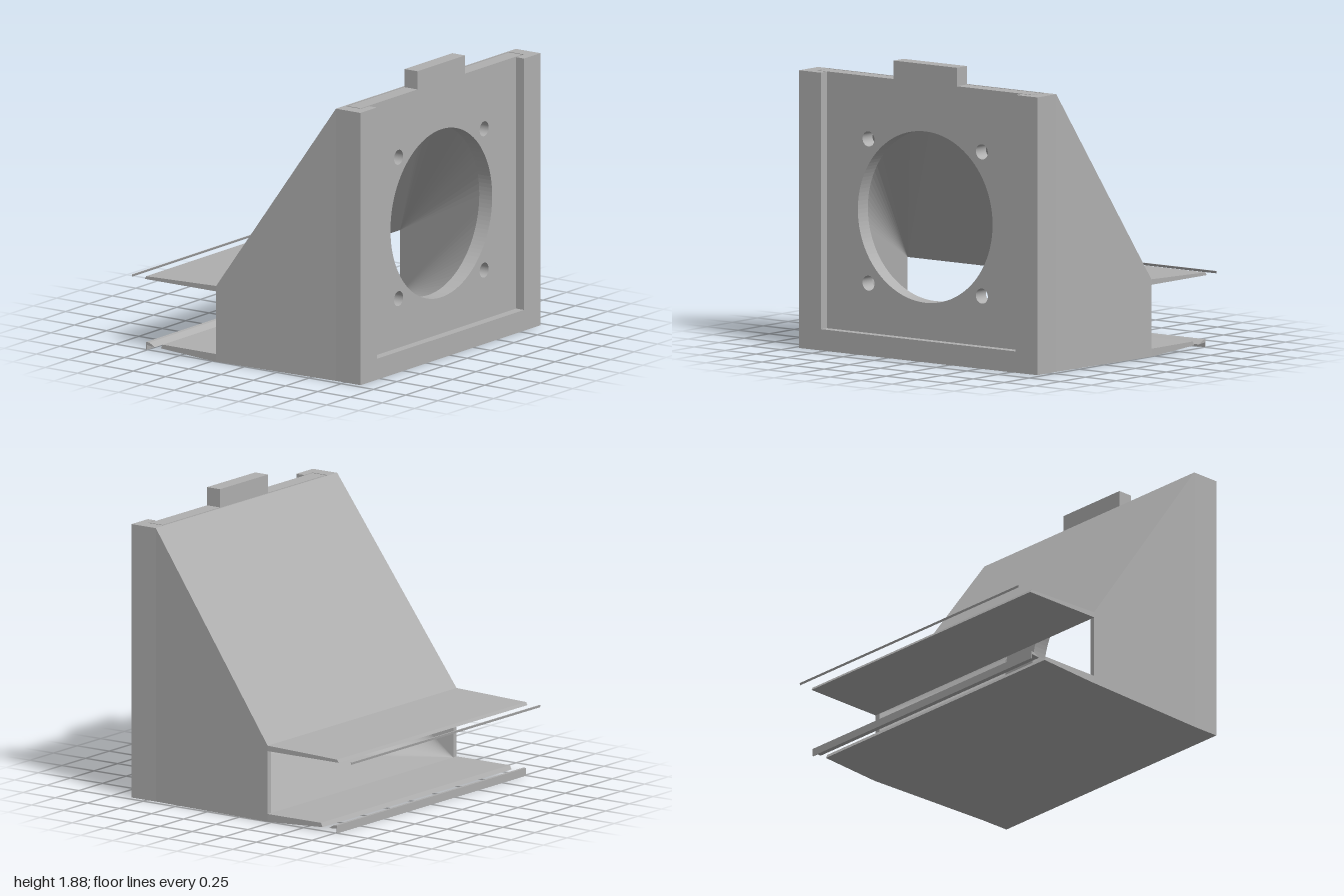
import * as THREE from 'three';

export function createModel() {
  const model = new THREE.Group();
  const grey = new THREE.MeshStandardMaterial({ color: 0xb0b0b0, side: THREE.DoubleSide });
  grey.name = 'grey plastic';

  const add = (name, geometry) => {
    const mesh = new THREE.Mesh(geometry, grey);
    mesh.name = name;
    model.add(mesh);
  };
  const outline = pts => new THREE.Shape(pts.map(p => new THREE.Vector2(...p)));
  const circle = (z, y, r) => new THREE.Path().absarc(z, y, r, 0, Math.PI * 2, true);

  // Slab drawn in the z-y plane, running from xa to xb
  const slab = (name, shape, xa, xb) => {
    const g = new THREE.ExtrudeGeometry(shape, { depth: xb - xa, bevelEnabled: false, curveSegments: 64 });
    add(name, g.rotateY(Math.PI / 2).translate(xa, 0, 0));
  };
  // Strip drawn in the x-y plane, running the full width
  const strip = (name, pts) => {
    const g = new THREE.ExtrudeGeometry(outline(pts), { depth: 2, bevelEnabled: false });
    add(name, g.translate(0, 0, -1));
  };
  const triangles = (name, pts) => {
    const g = new THREE.BufferGeometry();
    g.setAttribute('position', new THREE.Float32BufferAttribute(pts.flat(), 3));
    g.computeVertexNormals();
    add(name, g);
  };

  const x0 = -0.22, x1 = 0.68, h0 = 0.49, top = 1.76, w = 0.96;
  const cy = 0.908, slotLow = 0.05, slotHigh = 0.455, slotW = 0.965;

  // Outer skin of the wedge-shaped duct
  const skin = [];
  const quad = (a, b, c, d) => skin.push(a, b, c, a, c, d);
  quad([x0, 0, -1], [x1, 0, -w], [x1, 0, w], [x0, 0, 1]);
  quad([x0, h0, 1], [x1, top, w], [x1, top, -w], [x0, h0, -1]);
  quad([x0, 0, 1], [x1, 0, w], [x1, top, w], [x0, h0, 1]);
  quad([x0, h0, -1], [x1, top, -w], [x1, 0, -w], [x0, 0, -1]);
  triangles('ductSkin', skin);

  // Rim round the outlet slot
  const rim = outline([[-1, 0], [1, 0], [1, h0], [-1, h0]]);
  rim.holes.push(outline([[-slotW, slotLow], [-slotW, slotHigh], [slotW, slotHigh], [slotW, slotLow]]));
  add('outletRim', new THREE.ShapeGeometry(rim).rotateY(-Math.PI / 2).translate(x0, 0, 0));

  // Inner funnel, blending the round inlet into the wide slot
  const R = 0.78, xIn = 0.69, steps = 24, funnel = [];
  const ring = a => [xIn, cy + R * Math.sin(a), R * Math.cos(a)];
  const corners = [[slotHigh, slotW], [slotHigh, -slotW], [slotLow, -slotW], [slotLow, slotW]]
    .map(([y, z]) => [x0, y, z]);
  corners.forEach((corner, q) => {
    for (let i = 0; i < steps; i++) {
      const a = (q + i / steps) * Math.PI / 2, b = (q + (i + 1) / steps) * Math.PI / 2;
      funnel.push(corner, ring(b), ring(a));
    }
    funnel.push(corner, corners[(q + 1) % 4], ring((q + 1) * Math.PI / 2));
  });
  triangles('ductFunnel', funnel);

  // Holder: back wall, slide-in channel and front frame
  const backWall = outline([[-w, 0], [w, 0], [w, top], [-w, top]]);
  backWall.holes.push(circle(0, cy, R));
  slab('holderBackWall', backWall, x1, xIn);
  const uShape = (half, floor) => outline([
    [-w, 0], [w, 0], [w, top], [half, top], [half, floor], [-half, floor], [-half, top], [-w, top]]);
  slab('holderChannel', uShape(0.872, 0.05), xIn, 0.81);
  slab('holderFrontFrame', uShape(0.785, 0.135), 0.81, 0.87);

  // Sliding fan plate with pull tab, large opening and four screw holes
  const p = 0.862, tab = 0.255;
  const plate = outline([
    [-p, 0.06], [p, 0.06], [p, top], [tab, top], [tab, 1.877], [-tab, 1.877], [-tab, top], [-p, top]]);
  plate.holes.push(circle(0, cy, 0.543));
  for (const sz of [-1, 1]) for (const sy of [-1, 1])
    plate.holes.push(circle(sz * 0.457, cy - 0.003 + sy * 0.457, 0.048));
  slab('fanPlate', plate, 0.7, 0.8);

  // Outlet lips and the thin loose strips beyond them
  strip('upperLip', [[x0, slotHigh], [x0, h0], [-0.762, 0.474], [-0.772, slotHigh]]);
  strip('lowerLip', [[x0, 0], [x0, slotLow], [-0.635, slotLow], [-0.648, 0.024], [-0.27, 0.002]]);
  strip('upperSliver', [[-0.874, 0.47], [-0.871, 0.455], [-0.866, 0.47]]);
  strip('lowerSliver', [
    [-0.762, 0], [-0.757, 0], [-0.755, 0.03], [-0.695, 0.024], [-0.737, 0.048], [-0.762, 0.05]]);

  return model;
}
